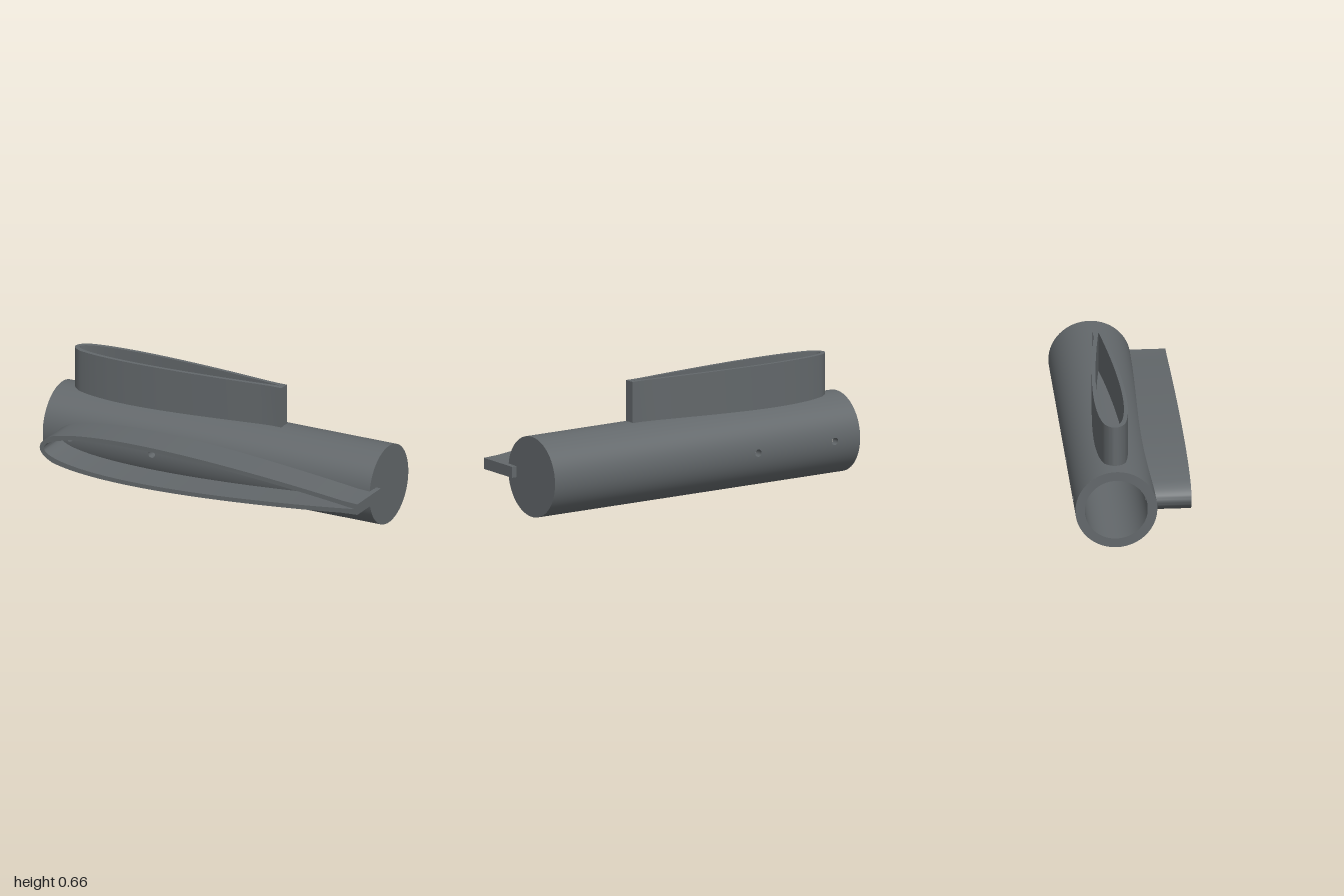
import * as THREE from 'three';
import { toCreasedNormals } from 'three/addons/utils/BufferGeometryUtils.js';

const grey = new THREE.MeshStandardMaterial({ color: 0x63686b });
grey.name = 'slate grey';

// Tube dimensions; its axis runs along x
const CY = 0.219, CZ = -0.0935, RO = 0.2185, RI = 0.168;
const X0 = -1, X1 = 0.972, BORE_END = -0.1;
const STRIP = 0.022, HOLE_R = 0.02, HOLES_X = [-0.838, -0.343];

function add(parent, name, geometry) {
  const mesh = new THREE.Mesh(geometry, grey);
  mesh.name = name;
  parent.add(mesh);
  return mesh;
}

// Symmetric aerofoil half thickness, 1 at its thickest
const foil = (u) => 10 * (0.2969 * Math.sqrt(u) - 0.126 * u - 0.3516 * u ** 2 + 0.2843 * u ** 3 - 0.1036 * u ** 4);

// Closed counter-clockwise outline from a half-thickness rule, dense at the nose
function outline(x0, x1, half, PathType) {
  const n = 40, upper = [], lower = [];
  for (let i = 0; i <= n; i++) {
    const u = (i / n) ** 2;
    const x = x0 + (x1 - x0) * u, h = half(u);
    upper.push(new THREE.Vector2(x, h));
    if (i > 0) lower.push(new THREE.Vector2(x, -h));
  }
  return new PathType([...upper.reverse(), ...lower]);
}

// Hollow aerofoil fin with a blunt trailing edge
function finGeometry(x0, x1, maxHalf, wall, tail, depth) {
  const inner = maxHalf - wall;
  const shape = outline(x0, x1, (u) => Math.max(u > 0.9 ? tail : 0,
    inner * foil(u) + wall * Math.min(1, Math.sqrt(u / 0.04))), THREE.Shape);
  shape.holes.push(outline(x0 + 0.025, x1 - 0.02, (u) => inner * foil(u) + 0.0005, THREE.Path));
  const g = new THREE.ExtrudeGeometry(shape, { depth, bevelEnabled: false });
  return toCreasedNormals(g, 0.5);
}

// Curved wall strip pierced by the pin holes, bent to the tube's radii
function stripGeometry() {
  const shape = new THREE.Shape([
    new THREE.Vector2(X0, -STRIP), new THREE.Vector2(X1, -STRIP),
    new THREE.Vector2(X1, STRIP), new THREE.Vector2(X0, STRIP)]);
  for (const x of HOLES_X) {
    shape.holes.push(new THREE.Path().absarc(x, 0, HOLE_R, 0, Math.PI * 2, true));
  }
  const g = new THREE.ExtrudeGeometry(shape, { depth: 1, bevelEnabled: false, curveSegments: 24 });
  const p = g.attributes.position, nrm = g.attributes.normal;
  for (let i = 0; i < p.count; i++) {
    const r = p.getZ(i) > 0.5 ? RO : RI, y = p.getY(i);
    const z = Math.sqrt(r * r - y * y), nz = nrm.getZ(i);
    p.setZ(i, z);
    if (Math.abs(nz) > 0.9) nrm.setXYZ(i, 0, Math.sign(nz) * y / r, Math.sign(nz) * z / r);
  }
  return g;
}

// Half of a tube wall, leaving gaps at +z and -z for the pierced strips
function wallGeometry(r, xa, xb, side, inward) {
  const gap = Math.asin(STRIP / r);
  const g = new THREE.CylinderGeometry(r, r, xb - xa, 48, 1, true, gap + side * Math.PI, Math.PI - 2 * gap);
  g.rotateZ(-Math.PI / 2);
  g.translate((xa + xb) / 2, 0, 0);
  if (inward) {
    const idx = g.index, n = g.attributes.normal;
    for (let i = 0; i < idx.count; i += 3) {
      const a = idx.getX(i);
      idx.setX(i, idx.getX(i + 1));
      idx.setX(i + 1, a);
    }
    for (let i = 0; i < n.count; i++) n.setXYZ(i, -n.getX(i), -n.getY(i), -n.getZ(i));
  }
  return g;
}

export function createModel() {
  const model = new THREE.Group();
  model.name = 'finnedTube';

  // Tube: bored from the -x end, closed at the +x end
  const tube = new THREE.Group();
  tube.name = 'tube';
  tube.position.set(0, CY, CZ);
  model.add(tube);
  for (const side of [0, 1]) {
    add(tube, 'outerWall', wallGeometry(RO, X0, X1, side, false));
    add(tube, 'boreWall', wallGeometry(RI, X0, BORE_END, side, true));
    add(tube, 'piercedStrip', stripGeometry()).rotation.x = side * Math.PI;
  }
  add(tube, 'openRim', new THREE.RingGeometry(RI, RO, 96).rotateY(-Math.PI / 2).translate(X0, 0, 0));
  add(tube, 'boreFloor', new THREE.CircleGeometry(RI, 96).rotateY(-Math.PI / 2).translate(BORE_END, 0, 0));
  add(tube, 'closedEnd', new THREE.CircleGeometry(RO, 96).rotateY(Math.PI / 2).translate(X1, 0, 0));

  // Long fin facing +z, with its trailing edge overhanging the closed end
  add(model, 'frontFin', finGeometry(-0.917, 1, 0.12, 0.024, 0.03, 0.234)).position.set(0, 0.22, 0.08);
  add(model, 'frontFinTail', new THREE.BoxGeometry(0.04, 0.06, 0.03)).position.set(0.98, 0.22, 0.065);

  // Short fin standing on top
  const topFin = add(model, 'topFin', finGeometry(-0.917, 0.34, 0.0875, 0.0205, 0.03, 0.26));
  topFin.rotation.x = -Math.PI / 2;
  topFin.position.set(0, 0.4, CZ + 0.001);
  return model;
}
